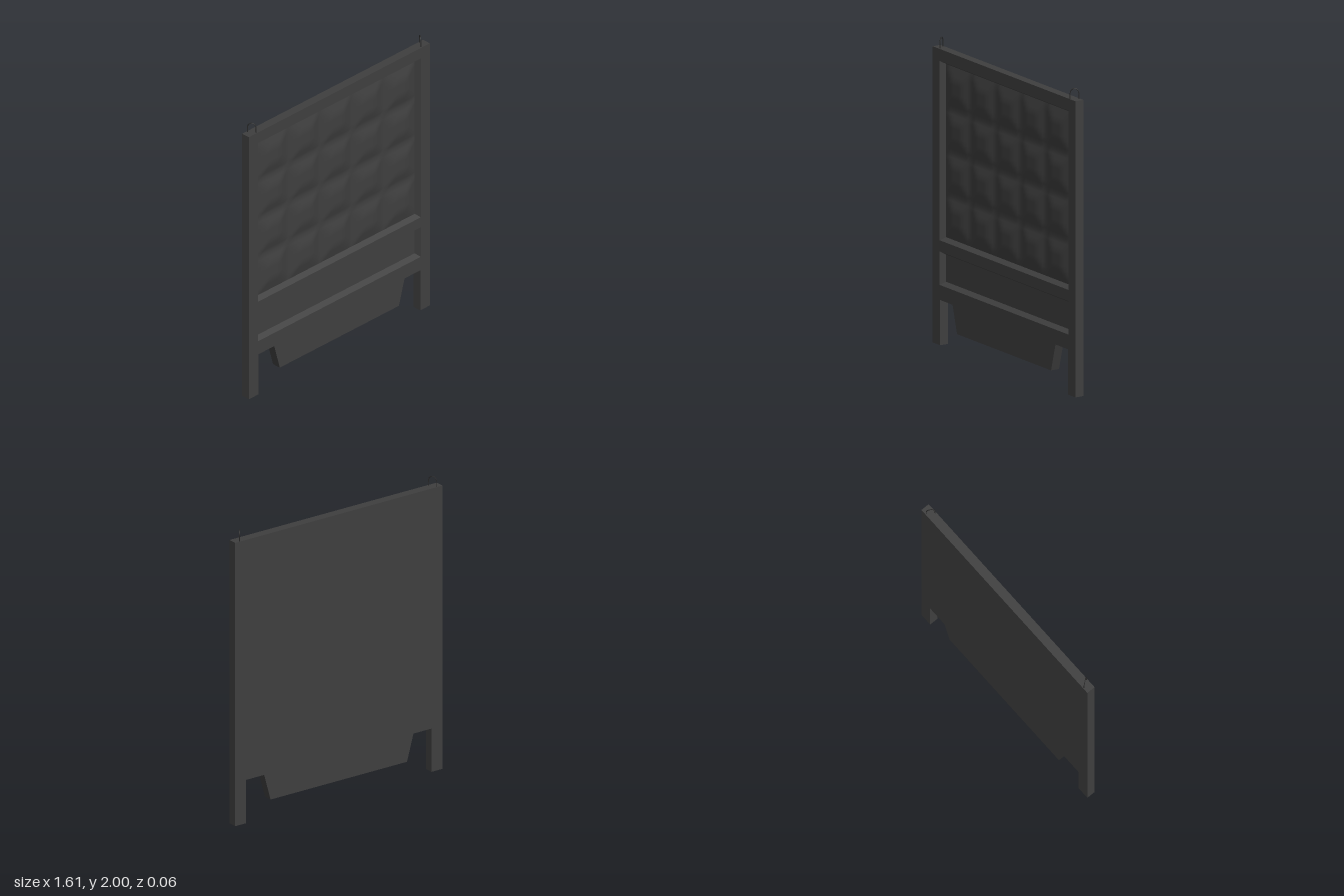
import * as THREE from 'three';

const HALF_W = 0.805, TOP = 1.93, BACK = -0.03, FLOOR = -0.005, FRONT = 0.03;
const concrete = new THREE.MeshStandardMaterial({ color: 0x3f3f3f });
concrete.name = 'dark concrete';
const steel = new THREE.MeshStandardMaterial({ color: 0x2a2a2a });
steel.name = 'dark steel';

// Recesses: opening at the front face, narrowing to the floor
const BEVEL = 0.02;
const upper = { x: 0.725, y0: 0.683, y1: 1.852 };
const lower = { x: 0.725, y0: 0.392, y1: 0.61 };

function addMesh(group, name, geometry, material = concrete) {
  const mesh = new THREE.Mesh(geometry, material);
  mesh.name = name;
  group.add(mesh);
  return mesh;
}

// Panel outline with two feet and a tapered skirt between them
function outline() {
  const right = [[0.53, 0.115], [0.58, 0.295], [0.72, 0.295], [0.72, 0], [HALF_W, 0], [HALF_W, TOP]];
  const left = right.map(([x, y]) => [-x, y]).reverse();
  return new THREE.Shape([...right, ...left].map(([x, y]) => new THREE.Vector2(x, y)));
}

function slab(shape, z0, z1) {
  return new THREE.ExtrudeGeometry(shape, { depth: z1 - z0, bevelEnabled: false }).translate(0, 0, z0);
}

const corners = (r, inset, z) => [
  [-r.x + inset, r.y0 + inset, z], [r.x - inset, r.y0 + inset, z],
  [r.x - inset, r.y1 - inset, z], [-r.x + inset, r.y1 - inset, z],
];

// Four sloping sides of a recess
function bevelFrame(r) {
  const outer = corners(r, 0, FRONT), inner = corners(r, BEVEL, FLOOR);
  const pos = [];
  for (let i = 0; i < 4; i++) {
    const j = (i + 1) % 4;
    pos.push(...outer[i], ...outer[j], ...inner[j], ...outer[i], ...inner[j], ...inner[i]);
  }
  const g = new THREE.BufferGeometry();
  g.setAttribute('position', new THREE.Float32BufferAttribute(pos, 3));
  g.computeVertexNormals();
  return g;
}

// Relief field: a grid of softly shaded, flat-topped pyramids
function relief(r, cols, rows, height) {
  const w = 2 * (r.x - BEVEL), h = r.y1 - r.y0 - 2 * BEVEL, steps = 10;
  const g = new THREE.PlaneGeometry(w, h, cols * steps, rows * steps);
  const p = g.attributes.position;
  for (let i = 0; i < p.count; i++) {
    const u = (p.getX(i) / w + 0.5) * cols, v = (p.getY(i) / h + 0.5) * rows;
    const d = Math.max(Math.abs(u - Math.floor(u) - 0.5), Math.abs(v - Math.floor(v) - 0.5));
    p.setZ(i, height * THREE.MathUtils.clamp((0.5 - d) / 0.3, 0, 1));
  }
  g.computeVertexNormals();
  return g.translate(0, (r.y0 + r.y1) / 2, FLOOR + 0.0005);
}

// Diagonal lifting loop on the top edge
function loopGeometry(side) {
  const at = (t, y) => new THREE.Vector3(side * (0.75 - 0.016 * t), y, 0.023 * t);
  const points = [at(-1, TOP - 0.01), at(-1, TOP + 0.03)];
  for (let i = 1; i < 8; i++) {
    const a = Math.PI * (1 - i / 8);
    points.push(at(Math.cos(a), TOP + 0.03 + 0.037 * Math.sin(a)));
  }
  points.push(at(1, TOP + 0.03), at(1, TOP - 0.01));
  return new THREE.TubeGeometry(new THREE.CatmullRomCurve3(points), 32, 0.003, 6);
}

export function createModel() {
  const group = new THREE.Group();
  group.name = 'fencePanel';

  addMesh(group, 'backSlab', slab(outline(), BACK, FLOOR));

  // Front layer with openings for both recesses
  const face = outline();
  for (const r of [upper, lower]) {
    face.holes.push(new THREE.Path(corners(r, 0, 0).map(([x, y]) => new THREE.Vector2(x, y)).reverse()));
  }
  addMesh(group, 'frontFrame', slab(face, FLOOR, FRONT));

  addMesh(group, 'upperRecessSides', bevelFrame(upper));
  addMesh(group, 'lowerRecessSides', bevelFrame(lower));
  addMesh(group, 'pyramidRelief', relief(upper, 5, 4, 0.02));

  addMesh(group, 'leftLiftingLoop', loopGeometry(1), steel);
  addMesh(group, 'rightLiftingLoop', loopGeometry(-1), steel);
  return group;
}
